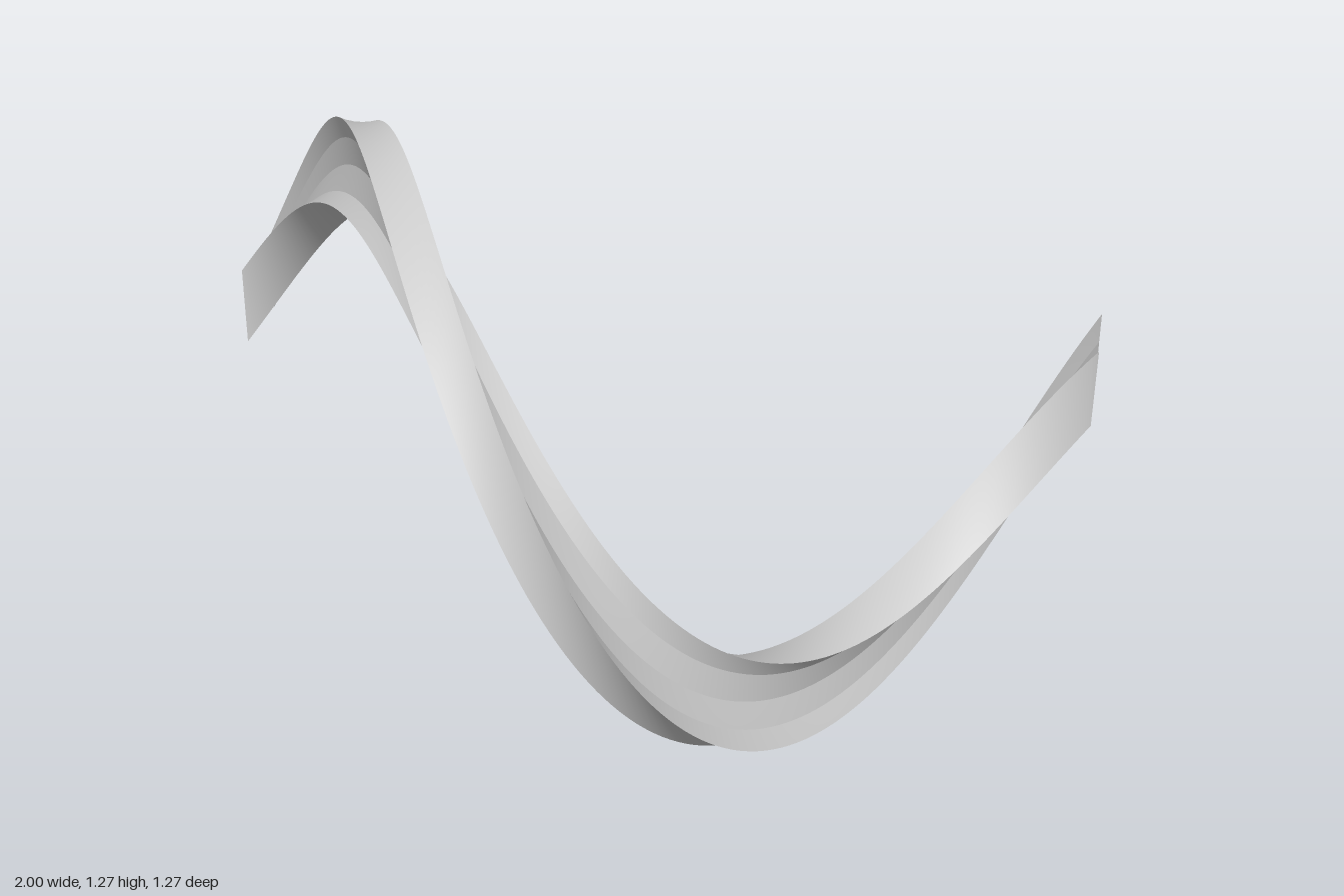
import * as THREE from 'three';

const STEPS = 144, AXIS_Y = 0.633;

// Cross-section as (radius, tangential offset): flat inner and outer faces, hollowed sides
const half = [[0.434, 0.094], [0.471, 0.041], [0.532, 0.016], [0.589, 0.041], [0.626, 0.094]];
const section = [
  ...half.map(([r, v]) => [r, -v]),
  ...half.slice().reverse(),
];

// Section point carried one full turn around the x axis, t from 0 to 1
function place([r, v], t) {
  const a = t * Math.PI * 2, s = Math.sin(a), c = Math.cos(a);
  return [t * 2 - 1, AXIS_Y + r * s + v * c, -r * c + v * s];
}

function build(positions, indices) {
  const g = new THREE.BufferGeometry();
  g.setAttribute('position', new THREE.Float32BufferAttribute(positions, 3));
  g.setIndex(indices);
  g.computeVertexNormals();
  return g;
}

// One facet of the section swept along the helix, smooth along its length
function strip(a, b) {
  const pos = [], idx = [];
  for (let i = 0; i <= STEPS; i++) {
    pos.push(...place(a, i / STEPS), ...place(b, i / STEPS));
    if (i < STEPS) {
      const k = i * 2;
      idx.push(k, k + 1, k + 3, k, k + 3, k + 2);
    }
  }
  return build(pos, idx);
}

// Flat end face
function cap(t) {
  const pts = section.map(([r, v]) => new THREE.Vector2(r, v));
  const faces = THREE.ShapeUtils.triangulateShape(pts, []);
  const idx = faces.flatMap(([a, b, c]) => (t > 0.5 ? [a, b, c] : [a, c, b]));
  return build(section.flatMap((p) => place(p, t)), idx);
}

export function createModel() {
  const group = new THREE.Group();
  group.name = 'helicalBeam';
  const material = new THREE.MeshStandardMaterial({ color: 0xcccccc, side: THREE.DoubleSide });
  const add = (geometry, name) => {
    const mesh = new THREE.Mesh(geometry, material);
    mesh.name = name;
    group.add(mesh);
  };

  // Swept faces
  section.forEach((p, i) => {
    const name = i === 4 ? 'outerFace' : i === 9 ? 'innerFace' : i < 4 ? 'leadingGroove' : 'trailingGroove';
    add(strip(p, section[(i + 1) % section.length]), name);
  });

  // Ends
  add(cap(0), 'startCap');
  add(cap(1), 'endCap');
  return group;
}
